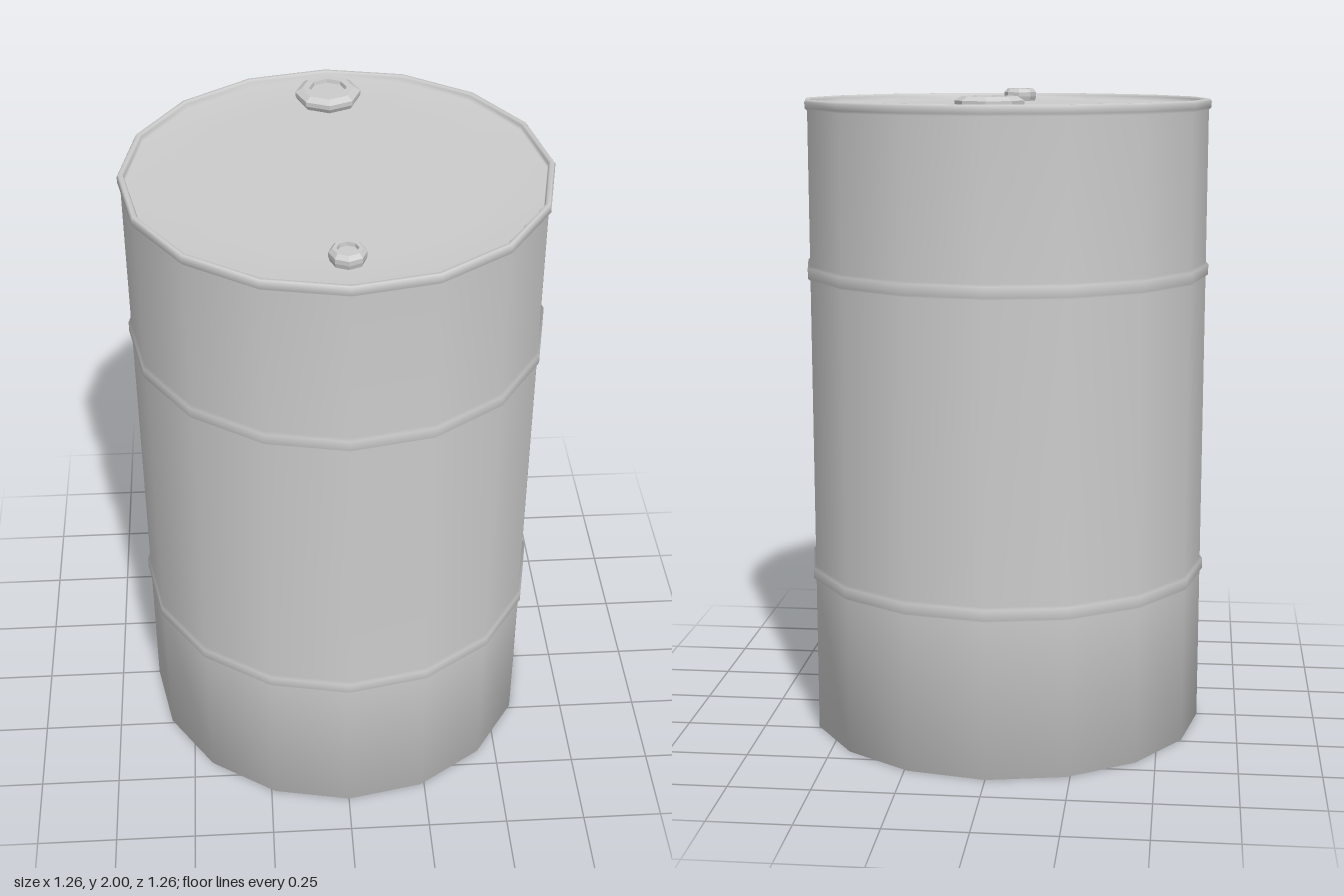
import * as THREE from 'three';

const lathe = (name, profile, sides, material) => {
  const points = profile.map(([r, y]) => new THREE.Vector2(r, y));
  const mesh = new THREE.Mesh(new THREE.LatheGeometry(points, sides), material);
  mesh.name = name;
  return mesh;
};

export function createModel() {
  const group = new THREE.Group();
  group.name = 'drum';
  const smooth = new THREE.MeshStandardMaterial({ color: 0xcccccc });
  const faceted = new THREE.MeshStandardMaterial({ color: 0xcccccc, flatShading: true });

  const R = 0.624, RIB = 0.632, LID = 1.96;

  // Rolling hoop: a shallow chamfered band around the wall
  const hoop = (y) => [[R, y - 0.023], [RIB, y - 0.016], [RIB, y + 0.016], [R, y + 0.023]];

  // Drum shell: floor, wall with two hoops, rolled rim and recessed lid
  group.add(lathe('drumShell', [
    [0, 0], [0.45, 0], [R, 0],
    ...hoop(0.51),
    ...hoop(1.458),
    [R, 1.948], [RIB, 1.956], [RIB, 1.974], [0.627, 1.981], [0.617, 1.981], [0.612, 1.974],
    [0.61, LID], [0.45, LID], [0, LID],
  ], 16, smooth));

  // Octagonal bung caps: stepped collar with a sunken centre
  const bung = (name, r, z) => {
    const cap = lathe(name, [
      [r * 0.9, LID - 0.003], [r, LID + 0.014], [r, LID + 0.028],
      [r * 0.8, 2], [r * 0.58, 2], [r * 0.56, 1.988], [0, 1.988],
    ], 8, faceted);
    cap.position.z = z;
    group.add(cap);
  };
  bung('largeBung', 0.1, -0.466);
  bung('smallBung', 0.053, 0.464);

  return group;
}
